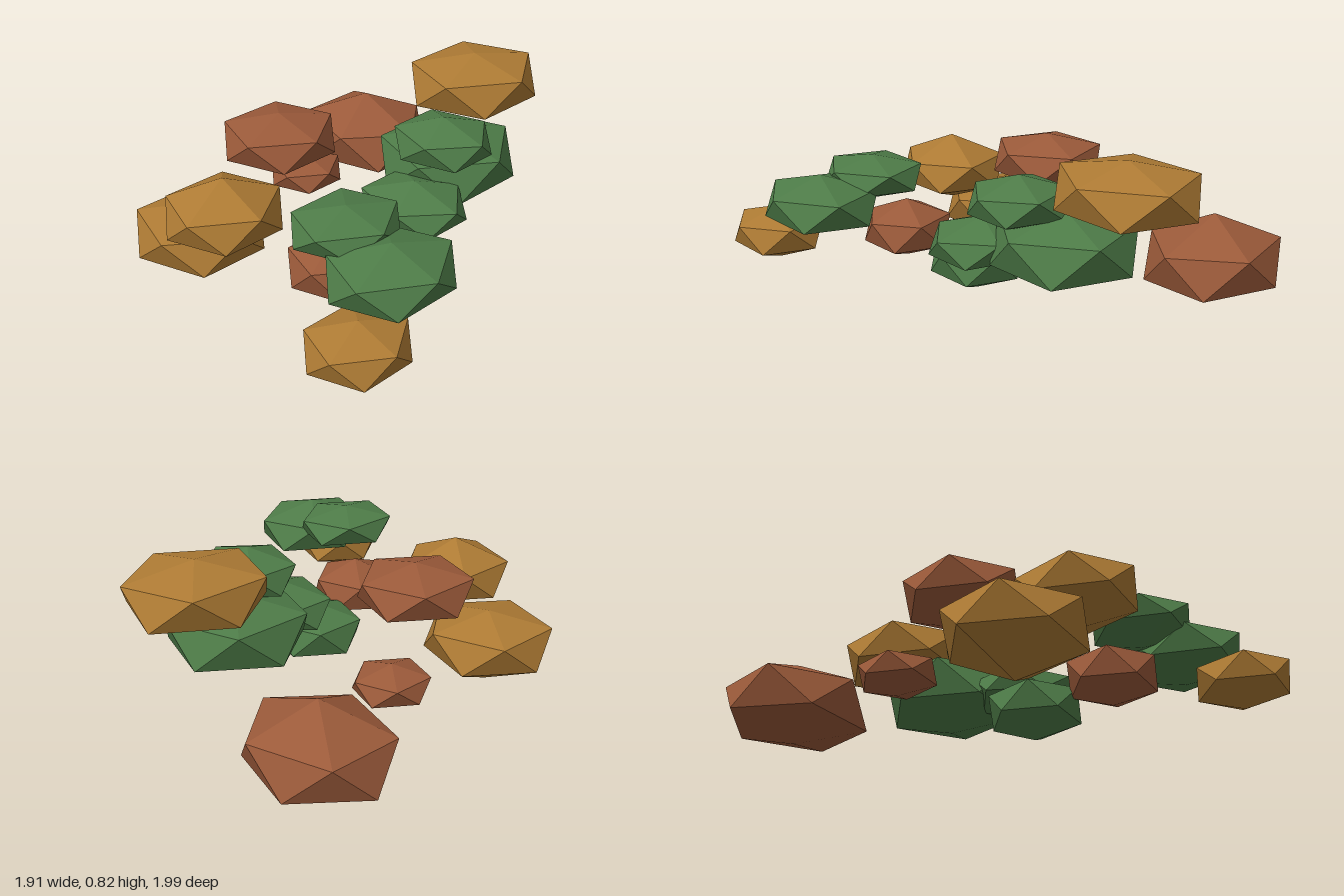
import * as THREE from 'three';

// Squashed icosahedron: two apexes and two staggered five-sided rings.
// Non-indexed, so the computed normals give flat facets.
function pebbleGeometry(rx, rz, top, upper, lower, bottom) {
  const ring = (y, phase) => Array.from({ length: 5 }, (_, i) => {
    const a = (i + phase) * Math.PI * 2 / 5;
    return [rx * Math.cos(a), y, rz * Math.sin(a)];
  });
  const U = ring(upper, 0);
  const L = ring(lower, 0.5);
  const T = [0, top, 0];
  const B = [0, bottom, 0];
  const points = [];
  for (let i = 0; i < 5; i++) {
    const j = (i + 1) % 5;
    points.push(T, U[j], U[i]);
    points.push(U[i], U[j], L[i]);
    points.push(L[i], U[j], L[j]);
    points.push(L[i], L[j], B);
  }
  const geometry = new THREE.BufferGeometry();
  geometry.setAttribute('position', new THREE.Float32BufferAttribute(points.flat(), 3));
  geometry.computeVertexNormals();
  return geometry;
}

export function createModel() {
  const model = new THREE.Group();
  model.name = 'leafClumps';

  const makeMaterial = (name, color) => {
    const material = new THREE.MeshStandardMaterial({ color });
    material.name = name;
    return material;
  };

  // Each clump: x, z, radius x, radius z, then heights of top, upper ring, lower ring, bottom
  const clusters = [
    {
      name: 'russetClump', material: makeMaterial('russet', 0x9b5a3a),
      clumps: [
        [-0.63, -0.63, 0.328, 0.295, 0.43, 0.30, 0.13, 0.05],
        [-0.49, -0.08, 0.165, 0.175, 0.33, 0.28, 0.20, 0.145],
        [-0.365, 0.185, 0.25, 0.26, 0.68, 0.62, 0.50, 0.41],
        [0.275, 0.45, 0.20, 0.20, 0.43, 0.35, 0.23, 0.155],
      ],
    },
    {
      name: 'goldenClump', material: makeMaterial('golden', 0xae7b34),
      clumps: [
        [0.025, -0.70, 0.285, 0.315, 0.825, 0.765, 0.62, 0.53],
        [-0.45, 0.60, 0.295, 0.29, 0.35, 0.285, 0.14, 0],
        [-0.172, 0.67, 0.245, 0.26, 0.61, 0.505, 0.38, 0.29],
        [0.757, 0.79, 0.20, 0.215, 0.42, 0.36, 0.25, 0.17],
      ],
    },
    {
      name: 'greenClump', material: makeMaterial('leaf green', 0x4e7c48),
      clumps: [
        [0.22, -0.27, 0.225, 0.21, 0.705, 0.64, 0.54, 0.465],
        [0.11, -0.43, 0.31, 0.32, 0.57, 0.495, 0.33, 0.24],
        [0.245, -0.06, 0.25, 0.215, 0.475, 0.41, 0.31, 0.235],
        [0.16, 0.085, 0.205, 0.215, 0.345, 0.275, 0.155, 0.07],
        [0.41, 0.515, 0.21, 0.235, 0.655, 0.61, 0.52, 0.45],
        [0.68, 0.535, 0.24, 0.275, 0.61, 0.54, 0.42, 0.345],
      ],
    },
  ];

  for (const { name, material, clumps } of clusters) {
    clumps.forEach(([x, z, ...shape], i) => {
      const clump = new THREE.Mesh(pebbleGeometry(...shape), material);
      clump.name = name + (i + 1);
      clump.position.set(x, 0, z);
      model.add(clump);
    });
  }
  return model;
}
